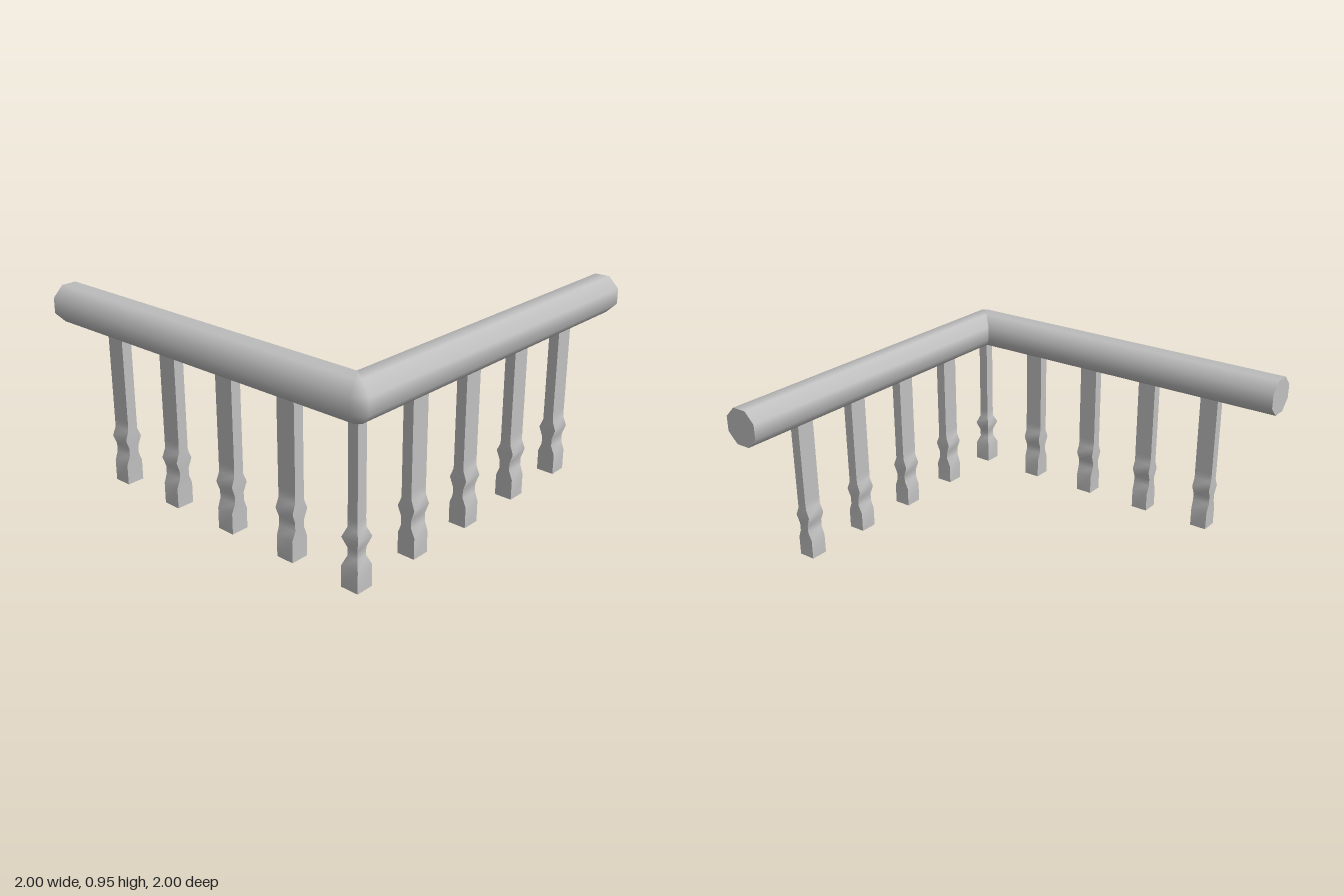
import * as THREE from 'three';
import { mergeVertices } from 'three/addons/utils/BufferGeometryUtils.js';

const C = 0.905;              // distance of both rail axes from the centre
const RAIL_Y = 0.86;
const R = 0.095 / Math.cos(Math.PI / 8);

// Octagonal rail swept along two legs, mitred inside and bevelled outside
function railGeometry() {
  const pos = [], nor = [], idx = [], n = 8;
  for (let ring = 0; ring < 4; ring++) {
    for (let k = 0; k < n; k++) {
      const a = (k + 0.5) * Math.PI / 4, c = Math.cos(a), s = Math.sin(a);
      const u = R * c, v = u > 0 ? u * 0.414 : u, y = RAIL_Y + R * s;
      pos.push(...[
        [-C - u, y, -1], [-C - u, y, C + v],
        [-C - v, y, C + u], [1, y, C + u],
      ][ring]);
      nor.push(...(ring < 2 ? [-c, s, 0] : [0, s, c]));
    }
  }
  for (let i = 0; i < 3; i++) {
    for (let k = 0; k < n; k++) {
      const p = i * n + k, q = i * n + (k + 1) % n;
      idx.push(p, p + n, q, q, p + n, q + n);
    }
  }
  const g = new THREE.BufferGeometry();
  g.setAttribute('position', new THREE.Float32BufferAttribute(pos, 3));
  g.setAttribute('normal', new THREE.Float32BufferAttribute(nor, 3));
  g.setIndex(idx);
  return g;
}

// Square post from [y, halfX, halfZ] sections: smooth along its height, sharp at the corners
function postGeometries(sections) {
  const corners = [[1, 1], [1, -1], [-1, -1], [-1, 1]];
  const at = ([y, hx, hz], k) => [corners[k % 4][0] * hx, y, corners[k % 4][1] * hz];
  const make = (pos) => {
    let g = new THREE.BufferGeometry();
    g.setAttribute('position', new THREE.Float32BufferAttribute(pos, 3));
    g = mergeVertices(g);
    g.computeVertexNormals();
    return g;
  };
  const faces = [];
  for (let k = 0; k < 4; k++) {
    const pos = [];
    for (let i = 0; i + 1 < sections.length; i++) {
      const a = at(sections[i], k), b = at(sections[i], k + 1);
      const c = at(sections[i + 1], k + 1), d = at(sections[i + 1], k);
      pos.push(...a, ...b, ...c, ...a, ...c, ...d);
    }
    faces.push(make(pos));
  }
  const [p, q, r, s] = [0, 1, 2, 3].map((k) => at(sections[0], k));
  faces.push(make([...p, ...r, ...q, ...p, ...s, ...r]));
  return faces;
}

export function createModel() {
  const model = new THREE.Group();
  const stone = new THREE.MeshStandardMaterial({ color: 0xc0c0c0 });
  stone.name = 'light grey';

  const add = (parent, geometry, name) => {
    const m = new THREE.Mesh(geometry, stone);
    m.name = name;
    parent.add(m);
    return m;
  };

  // Handrail with its two end caps
  const rail = new THREE.Group();
  rail.name = 'handrail';
  add(rail, railGeometry(), 'railSweep');
  const cap = new THREE.CircleGeometry(R, 8, Math.PI / 8);
  const backCap = add(rail, cap, 'backEndCap');
  backCap.position.set(-C, RAIL_Y, -1);
  backCap.rotation.y = Math.PI;
  const sideCap = add(rail, cap, 'leftEndCap');
  sideCap.position.set(1, RAIL_Y, C);
  sideCap.rotation.y = Math.PI / 2;
  model.add(rail);

  // Turned profile: height, narrow half-width, broad half-width
  const profile = [
    [0, 0.046, 0.047], [0.105, 0.046, 0.047], [0.15, 0.028, 0.049], [0.19, 0.028, 0.049],
    [0.24, 0.046, 0.052], [0.285, 0.028, 0.05], [0.33, 0.027, 0.051], [0.78, 0.027, 0.051],
  ];
  const broad = postGeometries(profile.map(([y, n, b]) => [y, b, n]));
  const slim = postGeometries(profile.map(([y, n]) => [y, n, n]));

  const addPost = (faces, name, x, z, turn) => {
    const post = new THREE.Group();
    post.name = name;
    faces.forEach((g, i) => add(post, g, i < 4 ? 'postSide' : 'postFoot'));
    post.position.set(x, 0, z);
    post.rotation.y = turn;
    model.add(post);
  };

  // Slim corner post, then a row of broad balusters under each leg
  addPost(slim, 'cornerPost', -C, C, 0);
  for (let i = 0; i < 4; i++) {
    const d = -0.527 + i * 0.381;
    addPost(broad, 'frontBaluster', d, C, 0);
    addPost(broad, 'sideBaluster', -C, -d, Math.PI / 2);
  }
  return model;
}
